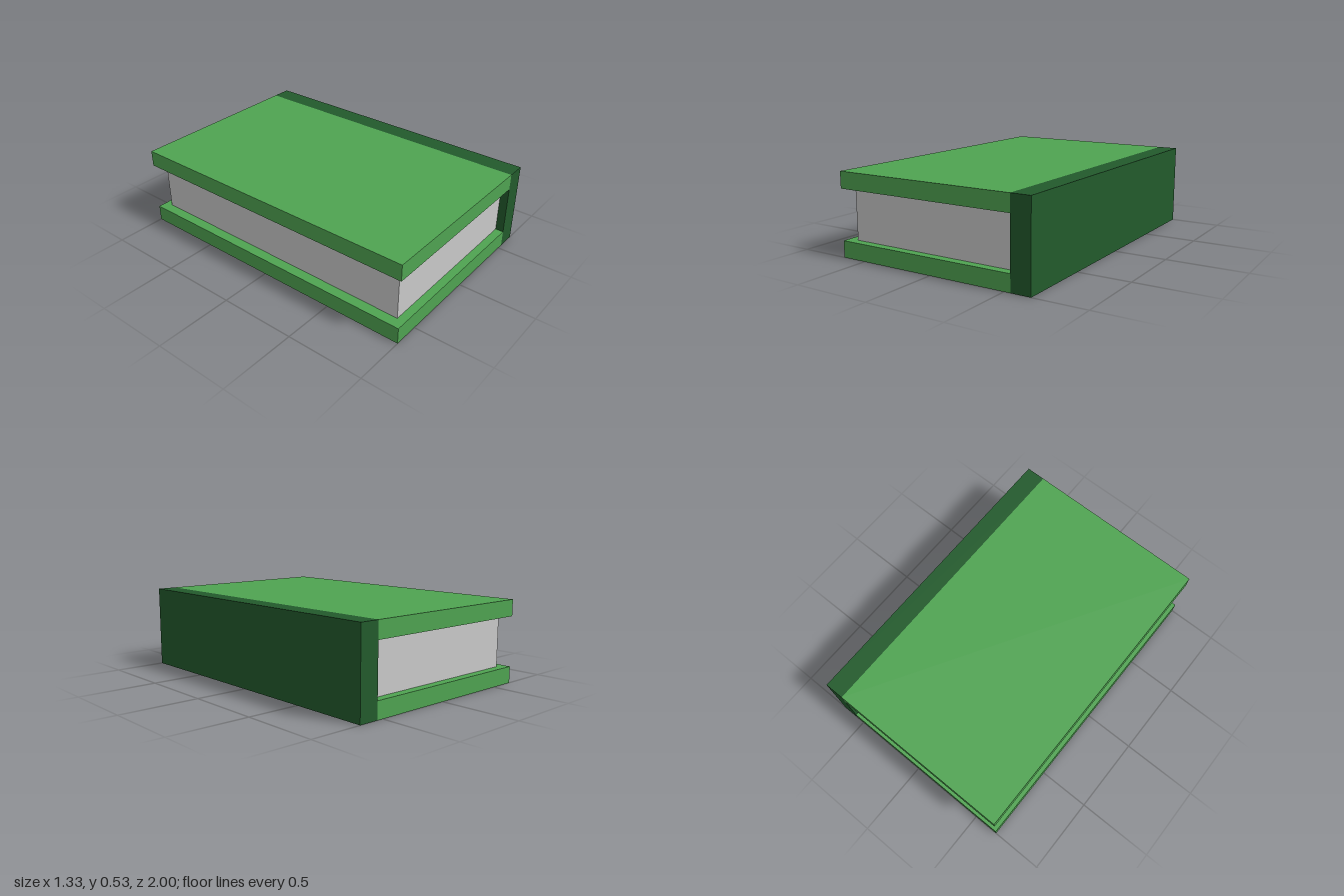
import * as THREE from 'three';

export function createModel() {
  const book = new THREE.Group();
  book.name = 'book';

  const material = (name, color) => {
    const m = new THREE.MeshStandardMaterial({ color });
    m.name = name;
    return m;
  };
  const coverGreen = material('coverGreen', 0x4fa351);
  const spineGreen = material('spineGreen', 0x225a2c);
  const pageGrey = material('pageGrey', 0xc9c9c9);

  // Box given by its x and y extents and its length, centred on z
  const addBox = (name, mat, x0, x1, y0, y1, length) => {
    const mesh = new THREE.Mesh(new THREE.BoxGeometry(x1 - x0, y1 - y0, length), mat);
    mesh.name = name;
    mesh.position.set((x0 + x1) / 2, (y0 + y1) / 2, 0);
    book.add(mesh);
  };

  const halfWidth = 0.667, height = 0.533, length = 2;
  const spineX = 0.54, board = 0.106;

  // Two boards that meet the spine
  addBox('bottomCover', coverGreen, -halfWidth, spineX, 0, board, length);
  addBox('topCover', coverGreen, -halfWidth, spineX, height - board, height, length);

  // Full-height spine
  addBox('spine', spineGreen, spineX, halfWidth, 0, height, length);

  // Page block, set back from the three open edges
  addBox('pages', pageGrey, -0.6, spineX, board, height - board, 1.893);

  return book;
}
